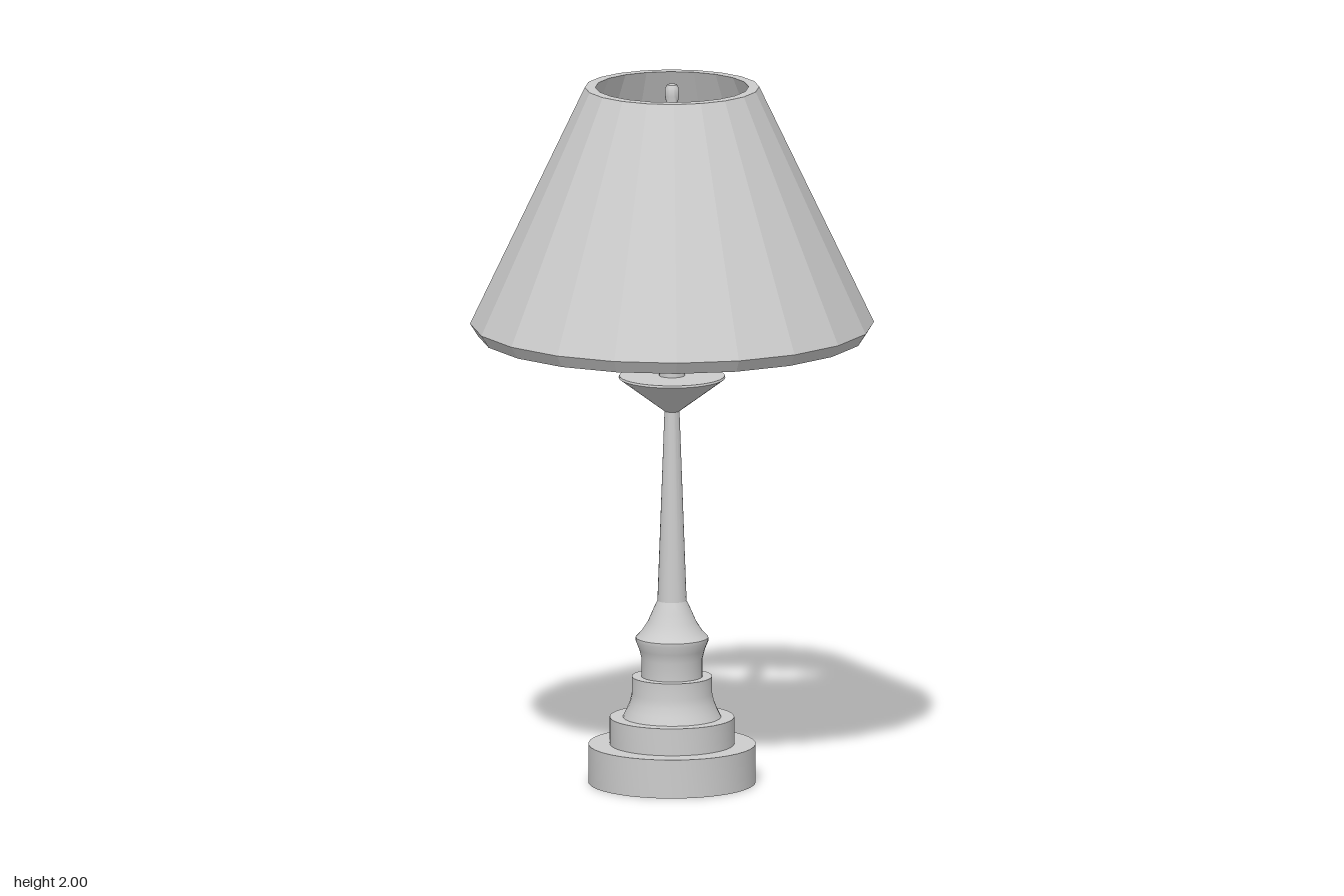
import * as THREE from 'three';
import { toCreasedNormals } from 'three/addons/utils/BufferGeometryUtils.js';

const grey = new THREE.MeshStandardMaterial({ color: 0xcccccc });
grey.name = 'light grey';

// Turns a profile of [radius, height] points, listed bottom to top on the outside
function turned(name, profile, sides, crease, start = 0) {
  const points = profile.map(([r, y]) => new THREE.Vector2(r, y));
  const lathe = new THREE.LatheGeometry(points, sides, start);
  const mesh = new THREE.Mesh(toCreasedNormals(lathe, crease), grey);
  mesh.name = name;
  return mesh;
}

export function createModel() {
  const lamp = new THREE.Group();
  lamp.name = 'tableLamp';
  const smooth = 0.5;

  // Stepped round foot
  lamp.add(turned('foot', [
    [0, 0], [0.235, 0], [0.235, 0.11], [0.175, 0.11], [0.175, 0.187], [0, 0.187],
  ], 40, smooth));

  // Turned pedestal: flared tier, neck and collar
  lamp.add(turned('pedestal', [
    [0.138, 0.187], [0.127, 0.21], [0.118, 0.232], [0.113, 0.255], [0.113, 0.303],
    [0.086, 0.303], [0.086, 0.355], [0.092, 0.38], [0.102, 0.405], [0.102, 0.415],
    [0.085, 0.433], [0.068, 0.46], [0.055, 0.49], [0.041, 0.52],
  ], 32, smooth));

  // Tapered stem
  lamp.add(turned('stem', [[0.041, 0.52], [0.021, 1.065]], 24, smooth));

  // Conical drip cup
  lamp.add(turned('cup', [
    [0, 1.062], [0.021, 1.062], [0.15, 1.158], [0.148, 1.164], [0, 1.164],
  ], 32, smooth));

  // Candle rod with a small rounded finial
  lamp.add(turned('rod', [
    [0.036, 1.164], [0.034, 1.3], [0.017, 1.95], [0.02, 1.965],
    [0.02, 1.985], [0.014, 1.997], [0, 2],
  ], 20, 0.7));

  // Faceted shade, a closed shell open at both ends
  lamp.add(turned('shade', [
    [0.545, 1.28], [0.567, 1.315], [0.245, 1.99], [0.215, 1.99],
    [0.53, 1.28], [0.545, 1.28],
  ], 20, 0.05, THREE.MathUtils.degToRad(4)));

  return lamp;
}
